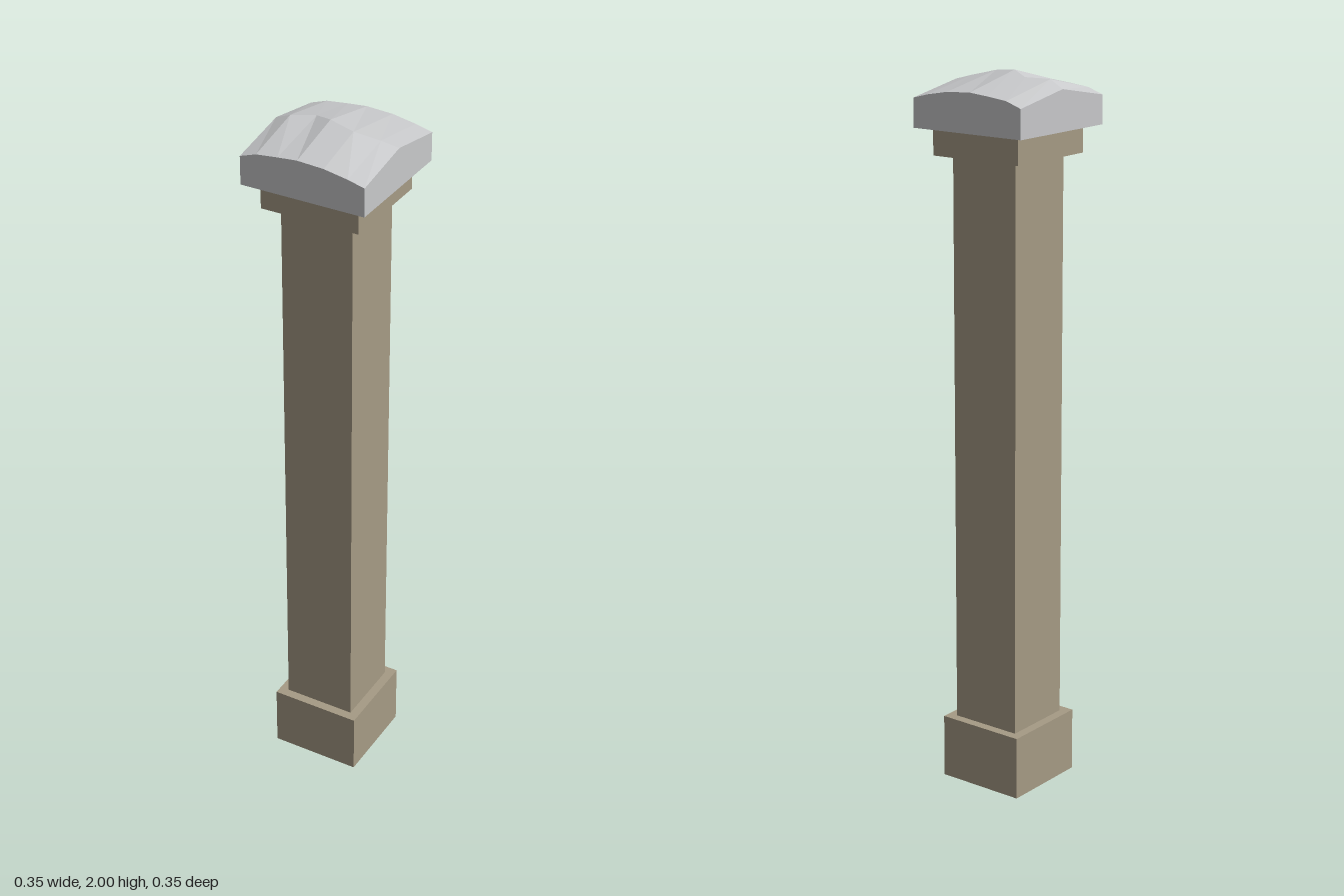
import * as THREE from 'three';

const HALF = 0.177; // half width of the cap
const CAP_BOTTOM = 1.852;

// Cap stations along x: [x, eave height, ridge height, ridge z]
const STATIONS = [
  [-HALF, 1.931, 1.963, 0],
  [-0.13, 1.947, 1.984, 0.009],
  [-0.068, 1.954, 1.987, -0.017],
  [-0.012, 1.959, 2.0, 0.011],
  [0.063, 1.955, 1.992, 0.028],
  [0.13, 1.943, 1.976, 0.01],
  [HALF, 1.931, 1.963, 0],
];

// Rough-hewn cap: a five-sided section lofted along x, with flat facets
function capGeometry() {
  const sections = STATIONS.map(([x, eave, ridge, z]) => [
    [x, CAP_BOTTOM, -HALF],
    [x, eave, -HALF],
    [x, ridge, z],
    [x, eave, HALF],
    [x, CAP_BOTTOM, HALF],
  ]);
  const positions = [];
  const tri = (a, b, c) => positions.push(...a, ...b, ...c);

  for (let i = 0; i < sections.length - 1; i++) {
    for (let j = 0; j < 5; j++) {
      const k = (j + 1) % 5;
      const a = sections[i][j], b = sections[i + 1][j];
      const c = sections[i + 1][k], d = sections[i][k];
      tri(a, d, c);
      tri(a, c, b);
    }
  }
  // End faces
  const left = sections[0], right = sections[sections.length - 1];
  for (let j = 1; j < 4; j++) {
    tri(left[0], left[j + 1], left[j]);
    tri(right[0], right[j], right[j + 1]);
  }

  const geometry = new THREE.BufferGeometry();
  geometry.setAttribute('position', new THREE.Float32BufferAttribute(positions, 3));
  geometry.computeVertexNormals();
  return geometry;
}

export function createModel() {
  const stone = new THREE.MeshStandardMaterial({ color: 0xa69b85 });
  stone.name = 'tan stone';
  const paleStone = new THREE.MeshStandardMaterial({ color: 0xc8c9cb });
  paleStone.name = 'pale grey stone';

  const model = new THREE.Group();
  model.name = 'pillar';

  const add = (name, geometry, material) => {
    const mesh = new THREE.Mesh(geometry, material);
    mesh.name = name;
    model.add(mesh);
    return mesh;
  };
  // Square block between two heights
  const block = (name, width, bottom, top) => {
    add(name, new THREE.BoxGeometry(width, top - bottom, width), stone)
      .position.y = (bottom + top) / 2;
  };

  block('base', 0.26, 0, 0.18);
  block('shaft', 0.208, 0.18, 1.778);
  block('collar', 0.282, 1.778, CAP_BOTTOM);
  add('cap', capGeometry(), paleStone);

  return model;
}
